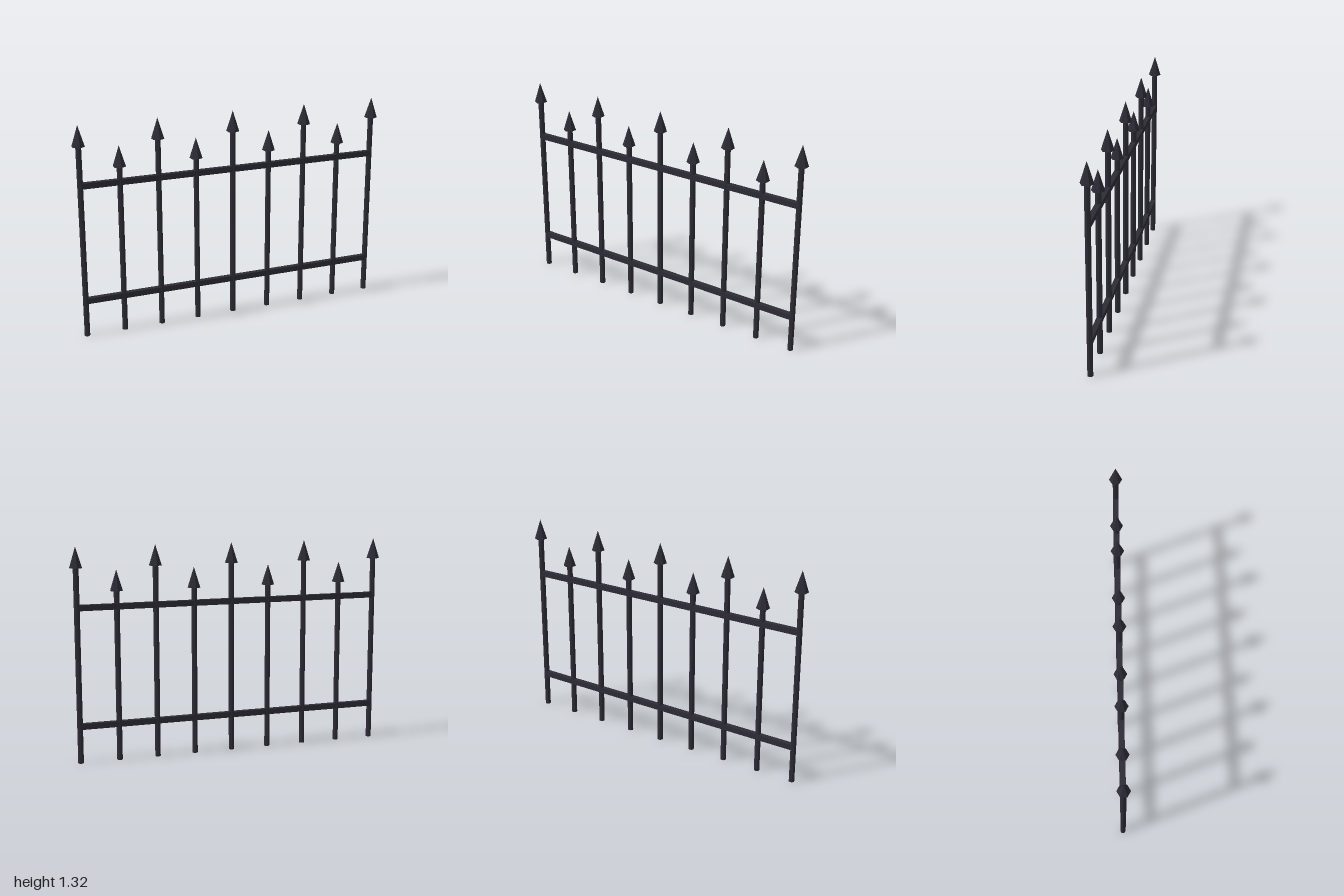
import * as THREE from 'three';

const SPACING = 0.2413;
const COUNT = 9;

export function createModel() {
  const fence = new THREE.Group();
  fence.name = 'fence';
  const iron = new THREE.MeshStandardMaterial({ color: 0x2e2c36 });
  iron.name = 'dark iron';
  iron.flatShading = true;

  const add = (parent, name, geometry, x, y) => {
    const mesh = new THREE.Mesh(geometry, iron);
    mesh.name = name;
    mesh.position.set(x, y, 0);
    parent.add(mesh);
  };

  // Pickets alternate tall and short, each with a six-sided spear tip
  const tipHeight = 0.127;
  const tip = new THREE.ConeGeometry(0.0402, tipHeight, 6);
  for (let i = 0; i < COUNT; i++) {
    const picket = new THREE.Group();
    picket.name = 'picket' + (i + 1);
    picket.position.x = (i - (COUNT - 1) / 2) * SPACING;
    const tipBase = i % 2 === 0 ? 1.19 : 1.046;
    const postHeight = tipBase + 0.015;
    add(picket, 'post', new THREE.CylinderGeometry(0.0175, 0.0175, postHeight, 8), 0, postHeight / 2);
    add(picket, 'spearTip', tip, 0, tipBase + tipHeight / 2);
    fence.add(picket);
  }

  // Horizontal rails run between the end posts
  const rail = new THREE.BoxGeometry(SPACING * (COUNT - 1), 0.035, 0.032);
  add(fence, 'lowerRail', rail, 0, 0.228);
  add(fence, 'upperRail', rail, 0, 0.952);

  return fence;
}
